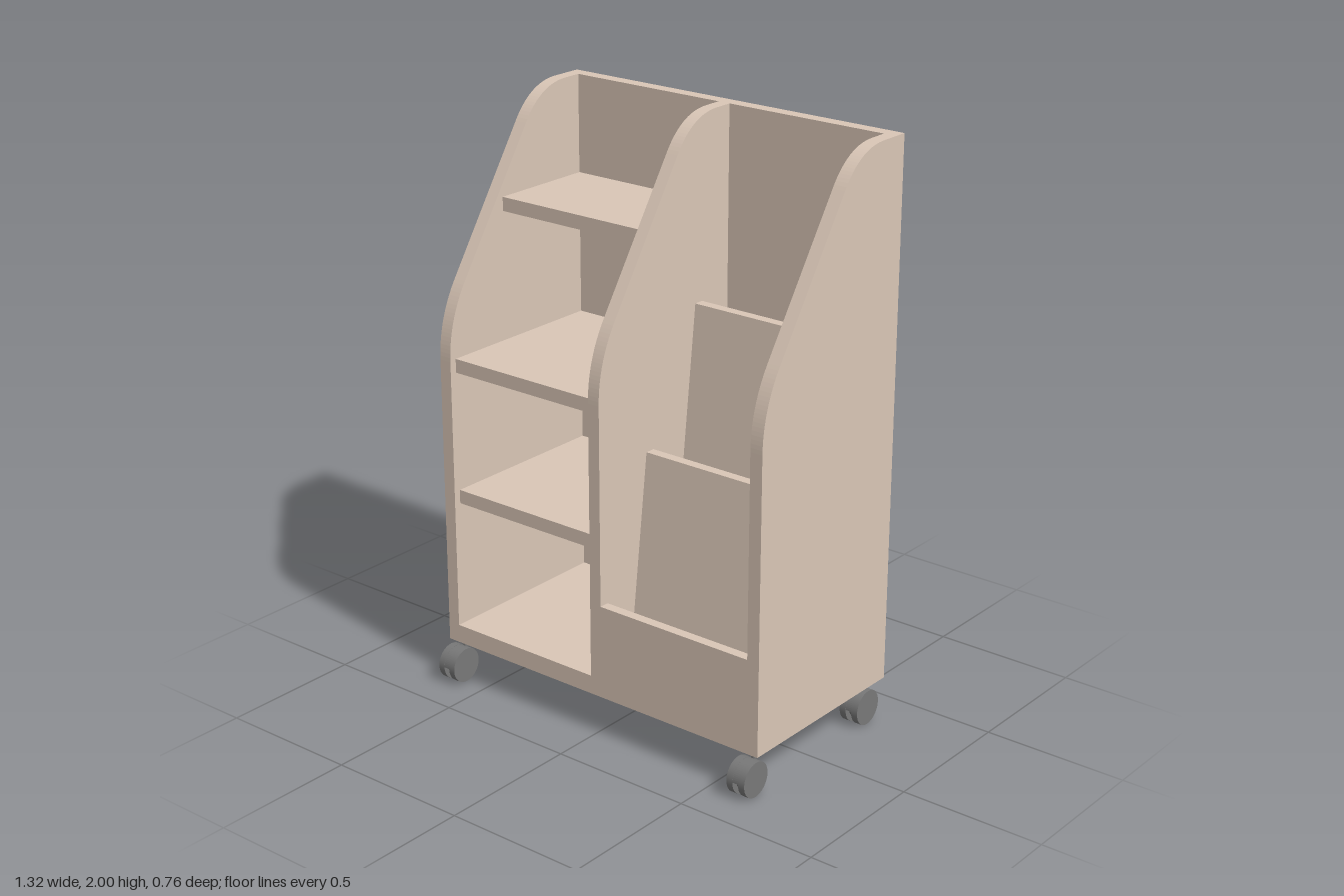
import * as THREE from 'three';

export function createModel() {
  const model = new THREE.Group();
  const wood = new THREE.MeshStandardMaterial({ color: 0xd9c6b6 });
  wood.name = 'beige board';
  const grey = new THREE.MeshStandardMaterial({ color: 0x787878 });
  grey.name = 'grey caster';

  function add(parent, name, geometry, material) {
    const mesh = new THREE.Mesh(geometry, material);
    mesh.name = name;
    parent.add(mesh);
    return mesh;
  }

  // Box given by its lower and upper corners
  function board(name, x0, x1, y0, y1, z0, z1) {
    const mesh = add(model, name, new THREE.BoxGeometry(x1 - x0, y1 - y0, z1 - z0), wood);
    mesh.position.set((x0 + x1) / 2, (y0 + y1) / 2, (z0 + z1) / 2);
  }

  // Side profile (z, y) extruded across x
  function slab(name, shape, x0, x1) {
    const geometry = new THREE.ExtrudeGeometry(shape, {
      depth: x1 - x0, bevelEnabled: false, curveSegments: 20,
    });
    geometry.rotateY(-Math.PI / 2).translate(x1, 0, 0);
    add(model, name, geometry, wood);
  }

  // Three upright panels with a sloping, rounded front edge
  const upright = new THREE.Shape();
  upright.moveTo(-0.38, 0.14);
  upright.lineTo(0.32, 0.14);
  upright.lineTo(0.32, 1.16);
  upright.quadraticCurveTo(0.32, 1.3, 0.24, 1.42);
  upright.lineTo(-0.07, 1.885);
  upright.quadraticCurveTo(-0.145, 2, -0.27, 2);
  upright.lineTo(-0.38, 2);
  upright.closePath();
  slab('rightSidePanel', upright, -0.66, -0.615);
  slab('centrePanel', upright, -0.022, 0.022);
  slab('leftSidePanel', upright, 0.615, 0.66);

  // Back and floor of the shelf bay
  board('shelfBayBack', -0.615, -0.022, 0.14, 2, -0.38, -0.335);
  board('shelfBayFloor', -0.615, -0.022, 0.14, 0.205, -0.335, 0.32);

  // Shelves: underside height and front edge
  for (const [y, front] of [[0.65, 0.295], [1.117, 0.295], [1.613, 0.05]]) {
    board('shelf', -0.615, -0.022, y, y + 0.048, -0.335, front);
  }

  // Display bay: front lip, two leaning dividers and stepped floors
  board('displayBayBack', 0.022, 0.615, 0.14, 2, -0.38, -0.335);
  const rack = new THREE.Shape([
    [-0.335, 0.14], [0.32, 0.14], [0.32, 0.468], [0.285, 0.468],
    [0.285, 0.26], [0.165, 0.26], [0.085, 0.932], [0.05, 0.932],
    [0.077, 0.7], [-0.09, 0.7], [-0.165, 1.372], [-0.2, 1.372],
    [-0.174, 1.14], [-0.335, 1.14],
  ].map(([z, y]) => new THREE.Vector2(z, y)));
  slab('displayRack', rack, 0.022, 0.615);

  // Twin-wheel casters with a hood between the wheels
  const r = 0.061;
  for (const x of [-0.621, 0.621]) {
    for (const z of [0.32, -0.295]) {
      const caster = new THREE.Group();
      caster.name = 'caster';
      caster.position.set(x, r, z);
      for (const side of [-1, 1]) {
        const wheel = add(caster, 'wheel', new THREE.CylinderGeometry(r, r, 0.024, 32), grey);
        wheel.rotation.z = Math.PI / 2;
        wheel.position.x = side * 0.023;
      }
      const hub = add(caster, 'hub', new THREE.CylinderGeometry(0.042, 0.042, 0.022, 24), grey);
      hub.rotation.z = Math.PI / 2;
      const hood = add(caster, 'hood', new THREE.ExtrudeGeometry(
        new THREE.Shape().absarc(0, 0, r - 0.001, 0, Math.PI),
        { depth: 0.022, bevelEnabled: false, curveSegments: 16 }), grey);
      hood.rotation.y = -Math.PI / 2;
      hood.position.x = 0.011;
      const stem = add(caster, 'stem', new THREE.CylinderGeometry(0.008, 0.008, 0.05, 16), grey);
      stem.position.set(0, 0.055, -0.035);
      model.add(caster);
    }
  }

  return model;
}
